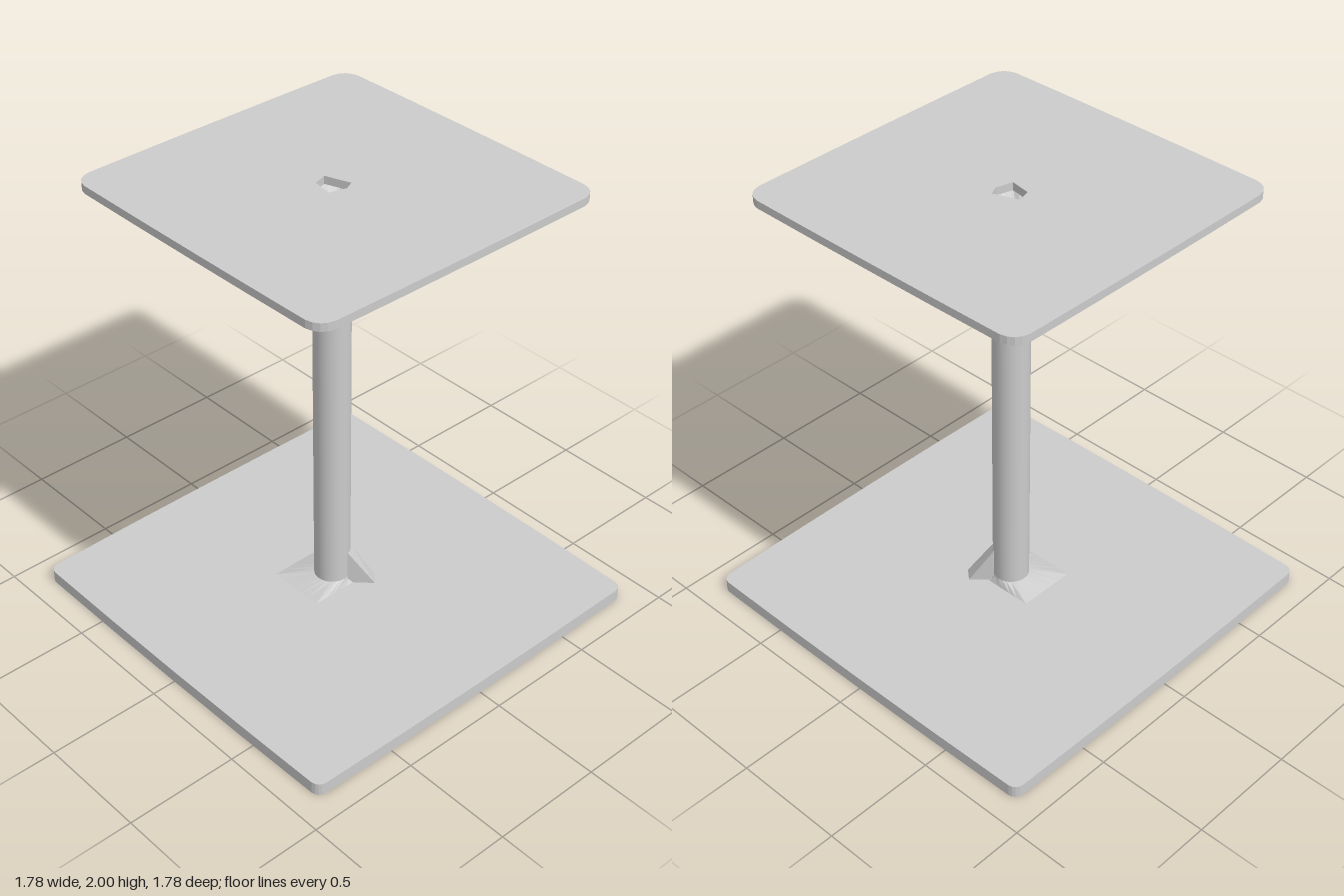
import * as THREE from 'three';
import { ConvexGeometry } from 'three/addons/geometries/ConvexGeometry.js';

const material = new THREE.MeshStandardMaterial({ color: 0xcccccc, side: THREE.DoubleSide });
const flatMaterial = new THREE.MeshStandardMaterial({ color: 0xcccccc, side: THREE.DoubleSide, flatShading: true });
const COLUMN_X = -0.014;
const COLUMN_R = 0.079;

// Square slab with rounded corners, slightly bowed sides and a small hole (x, z points)
function slab(name, half, bow, corner, y, height, hole) {
  const shape = new THREE.Shape();
  const c = half - corner;
  const sides = [[1, 0], [0, 1], [-1, 0], [0, -1]];
  sides.forEach(([nx, ny], i) => {
    const at = (out, along) => [nx * out - ny * along, ny * out + nx * along];
    const start = at(half, -c);
    if (i === 0) shape.moveTo(...start);
    shape.quadraticCurveTo(...at(half + 2 * bow, 0), ...at(half, c));
    shape.quadraticCurveTo(...at(half - corner * 0.12, half - corner * 0.12), ...at(c, half));
  });
  shape.holes.push(new THREE.Path(hole.map(([x, z]) => new THREE.Vector2(x, -z))));
  const geometry = new THREE.ExtrudeGeometry(shape, { depth: height, bevelEnabled: false, curveSegments: 4 });
  geometry.rotateX(-Math.PI / 2).translate(0, y, 0);
  const mesh = new THREE.Mesh(geometry, flatMaterial);
  mesh.name = name;
  return mesh;
}

// Collar blending the round column into a rectangle {x0, x1, z0, z1}
function collar(name, yRound, yRect, rect) {
  const n = 24;
  const geometry = new THREE.CylinderGeometry(1, 1, 1, n, 1, true);
  const pos = geometry.attributes.position;
  for (let i = 0; i < pos.count; i++) {
    const x = pos.getX(i), z = pos.getZ(i);
    const round = (pos.getY(i) > 0) === (yRound > yRect);
    if (round) {
      pos.setXYZ(i, COLUMN_X + x * COLUMN_R, yRound, z * COLUMN_R);
    } else {
      const m = Math.max(Math.abs(x), Math.abs(z));
      pos.setXYZ(i,
        THREE.MathUtils.lerp(rect.x0, rect.x1, (x / m + 1) / 2), yRect,
        THREE.MathUtils.lerp(rect.z0, rect.z1, (z / m + 1) / 2));
    }
  }
  const mesh = new THREE.Mesh(geometry, flatMaterial);
  mesh.name = name;
  return mesh;
}

export function createModel() {
  const group = new THREE.Group();
  group.name = 'pedestalTable';

  // Base and table top
  group.add(slab('base', 0.885, 0.007, 0.04, 0, 0.056,
    [[0, 0], [-0.1, 0.01], [-0.01, 0.1]]));
  group.add(slab('tableTop', 0.708, 0.003, 0.075, 1.965, 0.035,
    [[-0.08, -0.02], [0.03, -0.06], [0.05, -0.02], [0.03, 0.055], [-0.06, 0.04]]));

  // Round column
  const column = new THREE.Mesh(
    new THREE.CylinderGeometry(COLUMN_R, COLUMN_R, 1.82, 24).translate(COLUMN_X, 0.955, 0), material);
  column.name = 'column';
  group.add(column);

  // Flared collars where the column meets the slabs
  group.add(collar('topCollar', 1.862, 1.966, { x0: -0.16, x1: 0.135, z0: -0.19, z1: 0.155 }));
  group.add(collar('baseCollar', 0.088, 0.055, { x0: -0.19, x1: 0.08, z0: -0.09, z1: 0.18 }));

  // Wedge bracing the back left of the column foot
  const wedge = new THREE.Mesh(new ConvexGeometry([
    [0.062, 0.22, -0.02], [0.02, 0.22, -0.073], [0.03, 0.22, -0.02],
    [0.148, 0.055, -0.105], [0.1, 0.055, -0.147],
    [0.062, 0.055, -0.02], [0.02, 0.055, -0.073],
  ].map((p) => new THREE.Vector3(...p))), flatMaterial);
  wedge.name = 'footWedge';
  group.add(wedge);

  return group;
}
